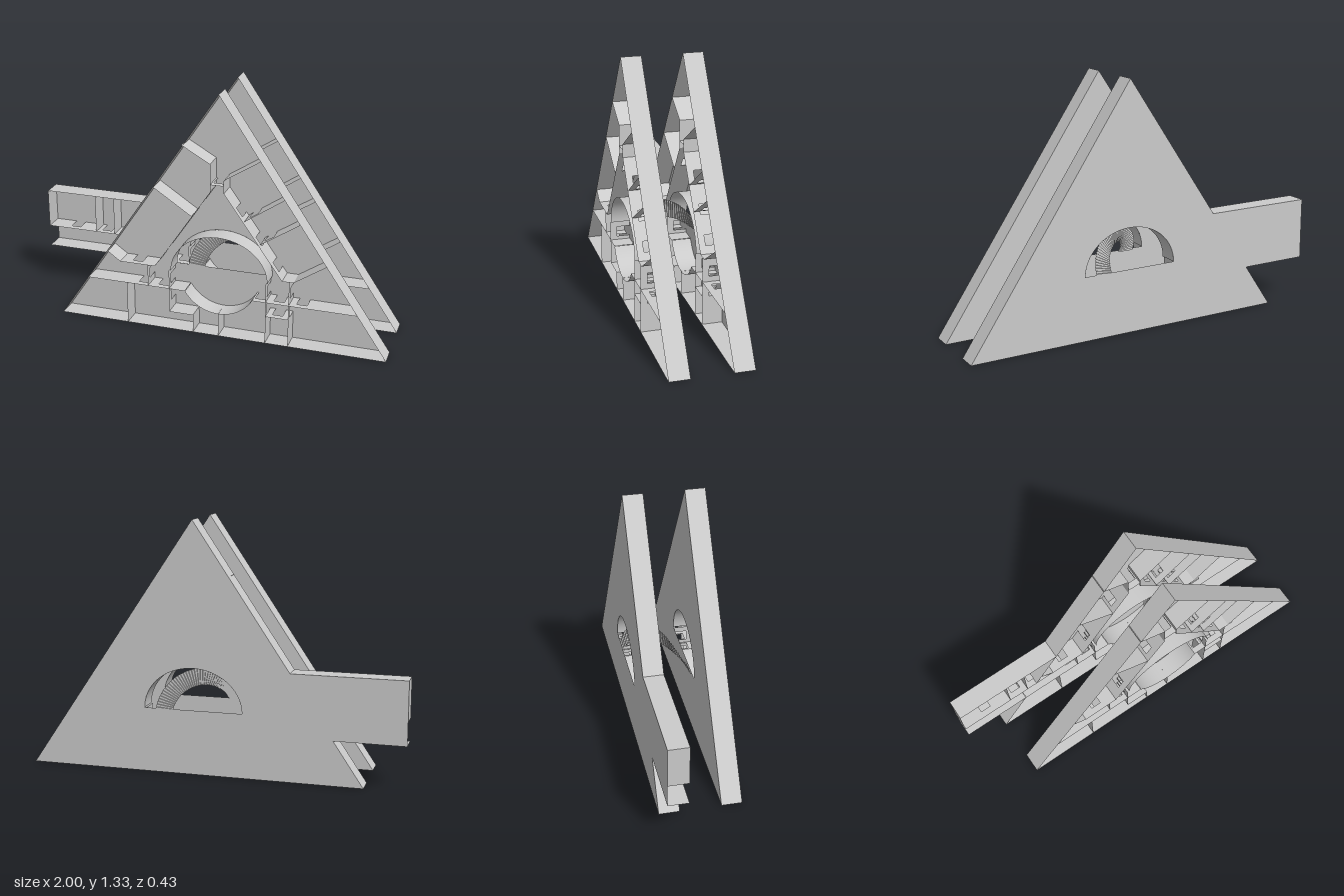
import * as THREE from 'three';
import { mergeGeometries } from 'three/addons/utils/BufferGeometryUtils.js';

const material = new THREE.MeshStandardMaterial({ color: 0xcccccc, side: THREE.DoubleSide });
const H = 0.107;            // storey wall height, along z
const REAR = -0.214, FRONT = 0.107; // z of the two floor plates
const CX = 0.105, CY = 0.342;       // centre of the stairwell
const DOOR = 0.055, DOOR_H = 0.072;

const APEX = [CX, 1.325], LEFT = [-0.787, 0], RIGHT = [0.997, 0];
const edgeX = y => LEFT[0] + (y / APEX[1]) * (APEX[0] - LEFT[0]); // left slope

// Interior walls: a path, then doors as [segment index, distance along it]
const PARTITIONS = [
  [[[-0.09, 1.045], [0.06, 0.96], [0.06, 0.81], [-0.245, 0.355], [-0.44, 0.355], [-0.51, 0.405]], [2, 0.1], [2, 0.42], [3, 0.08]],
  [[[0.32, 1.0], [0.133, 0.88], [0.133, 0.81], [0.445, 0.37], [0.505, 0.37], [0.67, 0.48]], [2, 0.1], [2, 0.28], [2, 0.44]],
  [[[0.06, 0.85], [0.133, 0.85]], [0, 0.01]],
  [[[-0.245, 0.8], [-0.04, 0.665]]],
  [[[0.445, 0.81], [0.24, 0.67]], [0, 0.17]],
  [[[0.53, 0.69], [0.325, 0.555]], [0, 0.17]],
  [[[0.482, 0.37], [0.482, 0]], [0, 0.05], [0, 0.16]],
  [[[-0.627, 0.235], [-0.08, 0.235]], [0, 0.28], [0, 0.39]],
  [[[0.287, 0.235], [0.838, 0.235]], [0, 0.01], [0, 0.11], [0, 0.23]],
  [[[-0.285, 0.355], [-0.285, 0.235]], [0, 0.03]],
  [[[-0.405, 0.235], [-0.405, 0]]],
  [[[-0.167, 0.34], [-0.167, 0.1], [-0.035, 0.1], [-0.035, 0]], [0, 0.03], [0, 0.13]],
  [[[CX, 0.13], [CX, 0]]],
  [[[0.36, 0.34], [0.36, 0]], [0, 0.03], [0, 0.13]],
  [[[0.36, 0.155], [0.482, 0.155]], [0, 0.03]],
];

// One upright sheet of wall from a to b, with door openings under a lintel
function wallSegment(a, b, doors) {
  const d = new THREE.Vector3(b[0] - a[0], b[1] - a[1], 0);
  const length = d.length();
  d.normalize();
  const s = new THREE.Shape().moveTo(0, 0);
  for (const t of doors) s.lineTo(t, 0).lineTo(t, DOOR_H).lineTo(t + DOOR, DOOR_H).lineTo(t + DOOR, 0);
  s.lineTo(length, 0).lineTo(length, H).lineTo(0, H);
  const up = new THREE.Vector3(0, 0, 1);
  const m = new THREE.Matrix4().makeBasis(d, up, d.clone().cross(up)).setPosition(a[0], a[1], 0);
  return new THREE.ShapeGeometry(s).applyMatrix4(m);
}

function wallPath([path, ...doors]) {
  return path.slice(1).map((p, i) =>
    wallSegment(path[i], p, doors.filter(d => d[0] === i).map(d => d[1])));
}

function mesh(name, geometry) {
  const m = new THREE.Mesh(geometry, material);
  m.name = name;
  return m;
}

// Curved wall around the stairwell
function arcWall(rx, ry, start, sweep) {
  return new THREE.CylinderGeometry(1, 1, H, 40, 1, true, start, sweep)
    .rotateX(Math.PI / 2).scale(rx, ry, 1).translate(CX, CY, H / 2);
}

// Floor plate with the half-round stairwell opening
function floorPlate(outline) {
  const s = new THREE.Shape(outline.map(p => new THREE.Vector2(...p)));
  const hole = new THREE.Path();
  hole.absellipse(CX, CY, 0.262, 0.222, 0, Math.PI, false, 0);
  hole.closePath();
  s.holes.push(hole);
  return new THREE.ShapeGeometry(s, 40);
}

function storey(name, z, outline, outerWalls, extraWalls) {
  const g = new THREE.Group();
  g.name = name;
  g.position.z = z;
  g.add(mesh('floorPlate', floorPlate(outline)));
  g.add(mesh('outerWalls', mergeGeometries(outerWalls.flatMap(wallPath))));
  g.add(mesh('partitionWalls', mergeGeometries([...PARTITIONS, ...extraWalls].flatMap(wallPath))));
  g.add(mesh('stairwellWall', arcWall(0.262, 0.222, Math.PI / 2, Math.PI)));
  g.add(mesh('hallCurvedWall', arcWall(0.213, 0.213, -1.04, 2.08)));
  return g;
}

// Half-turn spiral of thin treads and risers
function spiralStair() {
  const steps = 45, r0 = 0.108, r1 = 0.2;
  const pos = [], index = [];
  const rung = (a, z) => {
    for (const r of [r0, r1]) pos.push(CX + r * Math.cos(a), CY - 0.008 + r * Math.sin(a), z);
  };
  for (let i = 0; i < steps; i++) {
    const z = FRONT + (REAR - FRONT) * ((i + 1) / steps);
    const zPrev = FRONT + (REAR - FRONT) * (i / steps);
    const a = Math.PI * (1 - i / steps), b = Math.PI * (1 - (i + 1) / steps);
    rung(a, zPrev); rung(a, z);   // riser
    rung(a, z); rung(b, z);       // tread
    for (const k of [i * 8, i * 8 + 4]) index.push(k, k + 1, k + 3, k, k + 3, k + 2);
  }
  const g = new THREE.BufferGeometry();
  g.setAttribute('position', new THREE.Float32BufferAttribute(pos, 3));
  g.setIndex(index);
  g.computeVertexNormals();
  return mesh('spiralStair', g);
}

export function createModel() {
  const model = new THREE.Group();
  model.name = 'triangularBuilding';

  // Rear storey has a side wing with an open-ended corridor
  const top = 0.567, mid = 0.355, low = 0.235;
  const wingTop = [edgeX(top), top], wingLow = [edgeX(low), low];
  const rearOutline = [LEFT, RIGHT, APEX, wingTop, [-1, top], [-1, low], wingLow];
  const rearOuter = [
    [[wingLow, LEFT, RIGHT, APEX, wingTop, [-1, top], [-1, mid]]],
    [[[-1, low], wingLow]],
  ];
  const wingWalls = [
    [[[-1, mid], [-0.44, mid]], [0, 0.12], [0, 0.31], [0, 0.42]],
    [[[-0.715, mid], [-0.715, top]]],
    [[[-0.605, mid], [-0.605, top]]],
    [[[edgeX(mid), mid], wingTop]],
  ];
  model.add(storey('rearStorey', REAR, rearOutline, rearOuter, wingWalls));

  // Front storey is a plain triangle
  model.add(storey('frontStorey', FRONT, [LEFT, RIGHT, APEX], [[[LEFT, RIGHT, APEX, LEFT]]], []));

  model.add(spiralStair());
  return model;
}
